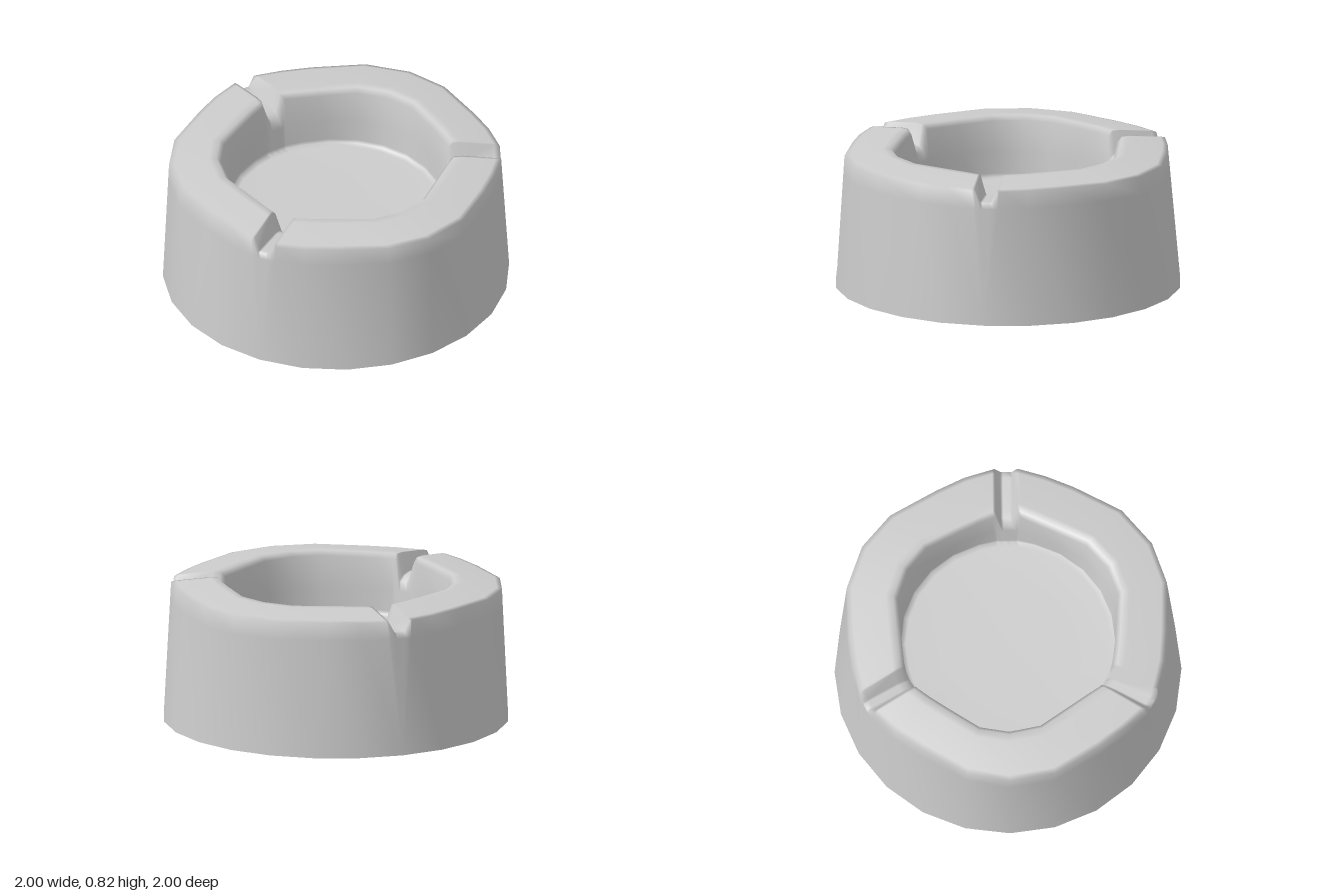
import * as THREE from 'three';
import { mergeVertices } from 'three/addons/utils/BufferGeometryUtils.js';

const DEG = Math.PI / 180;

// One third of the dish, starting at a notch.
// Rim columns: base angle, rim angle, outer rim radius, inner rim radius
const RIM = [
  [15, 14, 0.93, 0.632], [30, 25, 0.92, 0.62], [45, 44, 0.955, 0.655],
  [60, 60, 0.965, 0.665], [75, 75, 0.95, 0.658], [90, 94, 0.915, 0.625],
  [105, 105, 0.93, 0.636],
];
// Notch columns: sideways offset, outer and inner rim radius, on the notch floor or not
const NOTCH = [
  [-0.08, 0.946, 0.65, false], [-0.066, 0.95, 0.655, false], [-0.034, 0.95, 0.655, true],
  [-0.02, 0.95, 0.655, true], [0.02, 0.95, 0.655, true],
  [0.034, 0.95, 0.655, true], [0.066, 0.95, 0.655, false], [0.08, 0.946, 0.65, false],
];

// A point at radius r along an angle, pushed sideways by s
function polar(angle, r, y, s = 0) {
  const c = Math.cos(angle * DEG), n = Math.sin(angle * DEG);
  return [c * r - n * s, y, n * r + c * s];
}

const mix = (a, b, t) => a.map((v, i) => v + (b[i] - v) * t);

// Cross-section from the open base, over the rim, down to the bowl floor
function section(base, rim, ro, ri, s = 0, sunk = false) {
  const height = (top, notch) => (sunk ? notch : top);
  const foot = polar(base, 1, 0);
  const edge = polar(rim, ro, 0.785, s);
  const lip = polar(rim, ri, 0.79, s);
  const bowlFoot = polar(base, 0.618, 0.464, s * 0.8);
  return [
    foot,
    mix(foot, edge, 0.87),
    sunk ? mix(foot, edge, 0.917) : edge,
    polar(rim, ro - 0.03, height(0.793, 0.717), s),
    polar(rim, ri + 0.07, height(0.818, 0.708), s),
    polar(rim, ri + 0.025, height(0.817, 0.695), s),
    sunk ? mix(lip, bowlFoot, 0.38) : lip,
    mix(lip, bowlFoot, 0.55),
    mix(lip, bowlFoot, 0.93),
    bowlFoot,
    polar(base, 0.59, 0.457, s * 0.8),
    polar(base, 0.35, 0.453, s * 0.5),
    [0, 0.452, 0],
  ];
}

function dishGeometry() {
  const columns = [];
  for (const start of [75, 195, 315]) {
    for (const [s, ro, ri, sunk] of NOTCH) columns.push(section(start, start, ro, ri, s, sunk));
    for (const [base, rim, ro, ri] of RIM) columns.push(section(start + base, start + rim, ro, ri));
  }
  const rows = columns[0].length;
  const index = [];
  columns.forEach((_, i) => {
    const next = (i + 1) % columns.length;
    for (let j = 0; j < rows - 1; j++) {
      const a = i * rows + j, b = next * rows + j;
      index.push(a, a + 1, b + 1, a, b + 1, b);
    }
  });
  const geometry = new THREE.BufferGeometry();
  geometry.setAttribute('position', new THREE.Float32BufferAttribute(columns.flat(2), 3));
  geometry.setIndex(index);
  // Weld the centre and base points so the shading stays smooth
  const welded = mergeVertices(geometry, 1e-4);
  welded.computeVertexNormals();
  return welded;
}

export function createModel() {
  const group = new THREE.Group();
  group.name = 'ashtray';
  // Thin shell, open underneath
  const material = new THREE.MeshStandardMaterial({ color: 0xcccccc, side: THREE.DoubleSide });
  const dish = new THREE.Mesh(dishGeometry(), material);
  dish.name = 'notchedDish';
  group.add(dish);
  return group;
}
